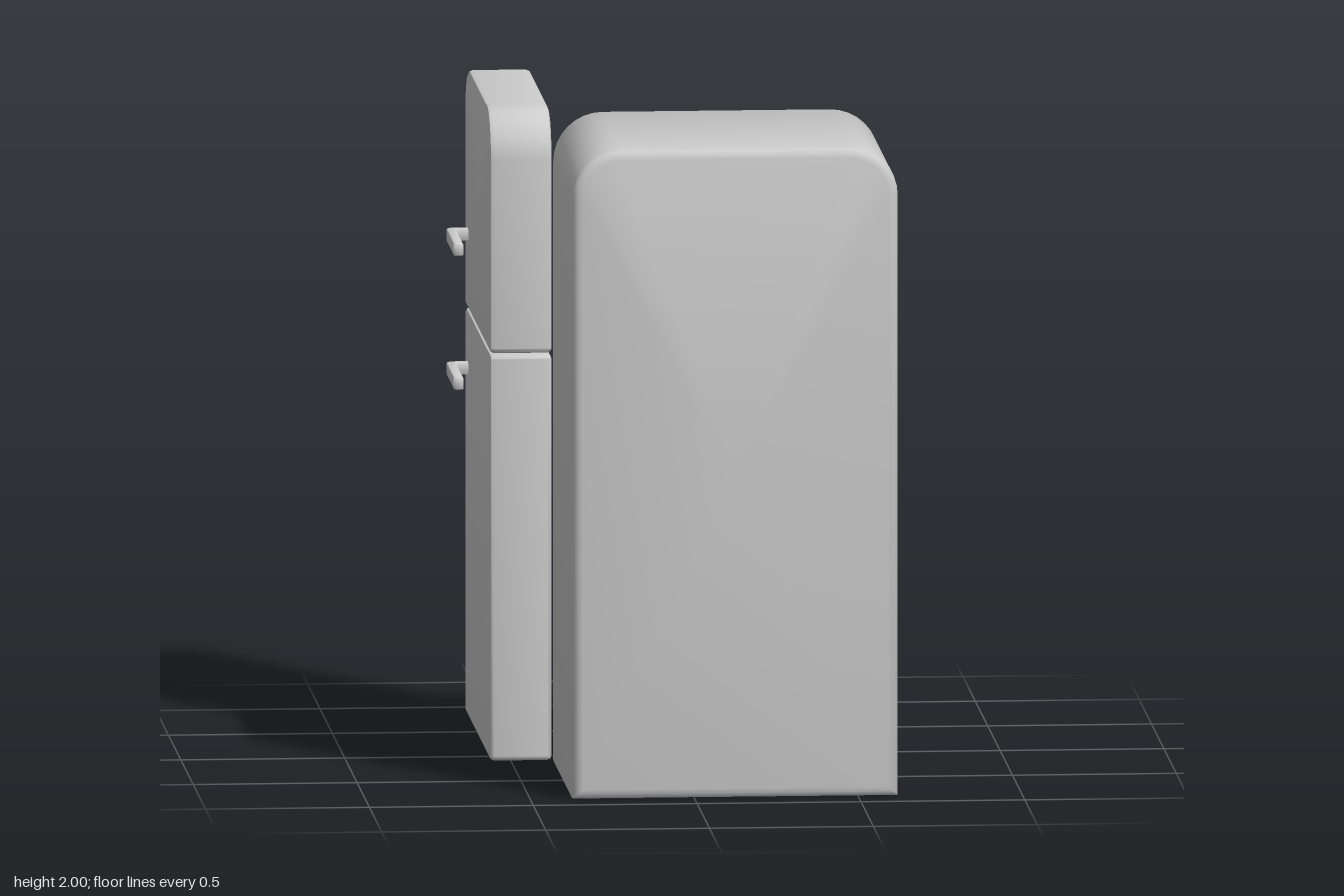
import * as THREE from 'three';
import { toCreasedNormals } from 'three/addons/utils/BufferGeometryUtils.js';

const STEPS = 8; // segments per rounded corner

// Counter-clockwise rounded rectangle from (x0,y0) to (x1,y1), shrunk by inset.
// An inset of null collapses the loop to its centre, which closes an end.
function loop(r, inset) {
  const pts = [];
  const corners = [
    [r.x1, r.y0, -1, 1, r.bottom], [r.x1, r.y1, -1, -1, r.top],
    [r.x0, r.y1, 1, -1, r.top], [r.x0, r.y0, 1, 1, r.bottom],
  ];
  corners.forEach(([x, y, sx, sy, radius], k) => {
    const rad = Math.max(radius - (inset ?? 0), 0.001);
    for (let i = 0; i <= STEPS; i++) {
      const a = (k - 1 + i / STEPS) * Math.PI / 2;
      pts.push(inset === null
        ? [(r.x0 + r.x1) / 2, (r.y0 + r.y1) / 2]
        : [x + sx * (inset + rad) + rad * Math.cos(a), y + sy * (inset + rad) + rad * Math.sin(a)]);
    }
  });
  return pts;
}

// Skin a row of [inset, z] sections of the same rounded rectangle.
function loft(rect, sections) {
  const rings = sections.map(([inset, z]) => loop(rect, inset).map(([x, y]) => [x, y, z]));
  const pos = [];
  for (let j = 0; j < rings.length - 1; j++) {
    const n = rings[j].length;
    for (let i = 0; i < n; i++) {
      const k = (i + 1) % n;
      const a = rings[j][i], b = rings[j][k], c = rings[j + 1][k], d = rings[j + 1][i];
      if (sections[j][0] !== null) pos.push(...a, ...b, ...c);
      if (sections[j + 1][0] !== null) pos.push(...a, ...c, ...d);
    }
  }
  const g = new THREE.BufferGeometry();
  g.setAttribute('position', new THREE.Float32BufferAttribute(pos, 3));
  return toCreasedNormals(g, 0.7);
}

export function createModel() {
  const model = new THREE.Group();
  model.name = 'refrigerator';
  const material = new THREE.MeshStandardMaterial({ color: 0xcccccc });
  const add = (name, geometry, parent = model) => {
    const mesh = new THREE.Mesh(geometry, material);
    mesh.name = name;
    parent.add(mesh);
    return mesh;
  };

  // Hollow cabinet: inner back, inner walls, rim, outer walls, rounded outer back
  const wall = 0.025, innerBack = 0.82;
  add('cabinet', loft(
    { x0: -0.372, x1: 0.622, y0: 0.003, y1: 2, top: 0.15, bottom: 0.003 },
    [[null, innerBack], [wall, innerBack], [wall, 0.102], [0.008, 0.102], [0, 0.112],
      [0, 0.87], [0.004, 0.885], [0.015, 0.896], [0.03, 0.9], [null, 0.9]],
  ));

  // Shelves
  for (const y of [0.435, 0.805, 1.18]) {
    add('shelf', new THREE.BoxGeometry(0.95, 0.032, innerBack - 0.106))
      .position.set(0.125, y, (innerBack + 0.106) / 2);
  }

  // Doors swung wide open, each with an L-shaped handle on its outer face
  const thick = 0.19, bevel = 0.014;
  const doorSections = [[null, 0], [bevel, 0], [bevel * 0.3, bevel * 0.3], [0, bevel],
    [0, thick - bevel], [bevel * 0.3, thick - bevel * 0.3], [bevel, thick], [null, thick]];

  // Handle outline: x runs along the door, y away from it
  const outline = new THREE.Shape();
  outline.moveTo(-0.795, -0.01);
  outline.lineTo(-0.795, 0.035);
  outline.quadraticCurveTo(-0.795, 0.063, -0.767, 0.063);
  outline.lineTo(-0.47, 0.063);
  outline.quadraticCurveTo(-0.464, 0.052, -0.47, 0.041);
  outline.lineTo(-0.756, 0.041);
  outline.quadraticCurveTo(-0.77, 0.041, -0.77, 0.027);
  outline.lineTo(-0.77, -0.01);
  const handleShape = toCreasedNormals(new THREE.ExtrudeGeometry(outline, {
    depth: 0.026, bevelEnabled: true, bevelThickness: 0.006, bevelSize: 0.004,
    bevelSegments: 3, curveSegments: 8,
  }).translate(0, 0, -0.013), 0.7);
  // Lay the outline flat: along z, standing out towards -x
  handleShape.applyMatrix4(new THREE.Matrix4().makeBasis(
    new THREE.Vector3(0, 0, 1), new THREE.Vector3(-1, 0, 0), new THREE.Vector3(0, -1, 0)));

  const doors = [
    { name: 'upperDoor', y0: 1.257, y1: 2, top: 0.15, z0: -0.9, z1: 0.1, handleY: 1.492 },
    { name: 'lowerDoor', y0: 0.003, y1: 1.252, top: 0.015, z0: -0.893, z1: 0.1, handleY: 1.08 },
  ];
  for (const d of doors) {
    const door = new THREE.Group();
    door.name = d.name;
    model.add(door);
    const panel = loft({ x0: d.z0, x1: d.z1, y0: d.y0, y1: d.y1, top: d.top, bottom: 0.015 }, doorSections);
    panel.rotateY(-Math.PI / 2);
    add(d.name + 'Panel', panel, door).position.x = -0.375;
    add(d.name + 'Handle', handleShape, door).position.set(-0.375 - thick, d.handleY, 0);
  }
  return model;
}
